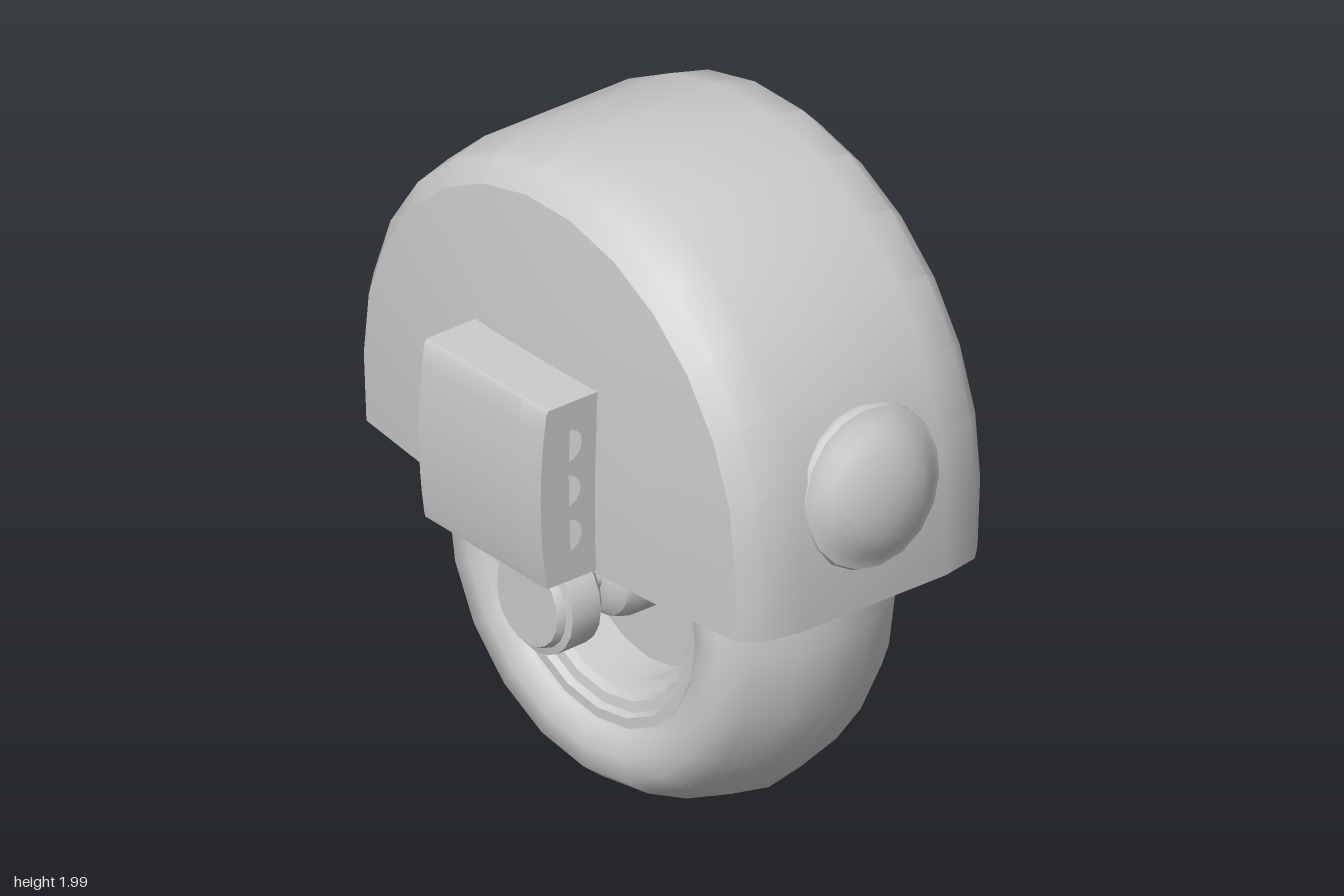
import * as THREE from 'three';
import { toCreasedNormals } from 'three/addons/utils/BufferGeometryUtils.js';

const MID_Z = -0.035, AXLE_Y = 0.71, BASE_Y = 0.9;
const material = new THREE.MeshStandardMaterial({ color: 0xcccccc });
const doubleMaterial = new THREE.MeshStandardMaterial({ color: 0xcccccc, side: THREE.DoubleSide });

function addMesh(parent, name, geometry, mat = material) {
  const mesh = new THREE.Mesh(geometry, mat);
  mesh.name = name;
  parent.add(mesh);
  return mesh;
}

// Lathe from [radius, height] pairs listed bottom to top
function lathe(pairs, segments, crease) {
  const points = pairs.map(([r, h]) => new THREE.Vector2(r, h));
  return toCreasedNormals(new THREE.LatheGeometry(points, segments), crease);
}

// Complete a half profile (centre outwards, then to the middle) by mirroring it
function mirrored(half) {
  return [...half.map(([r, h]) => [r, -h]), ...half.slice().reverse()];
}

// Half-round hollow cover, lofted over an arch outline
function addFender(parent) {
  const outline = [[0.86, 0]];
  for (let i = 0; i <= 13; i++) {
    const a = (i / 13) * Math.PI;
    outline.push([0.865 * Math.cos(a), 0.23 + 0.87 * Math.sin(a)]);
  }
  outline.push([-0.86, 0]);

  // [scale towards the base centre, half width]; null follows the side bulge
  const side = [[0, null], [0.3, null], [0.6, null], [0.915, null], [0.973, 0.37], [1, 0.25]];
  const outer = [
    ...side.map(([s, w]) => [s, w, 1]),
    ...side.slice().reverse().map(([s, w]) => [s, w, -1]),
  ];
  const inner = [[0, 0.36, -1], [0.88, 0.36, -1], [0.88, 0.36, 1], [0, 0.36, 1]];
  const profile = [...outer, ...inner];

  const place = ([z, y], [s, w, sign]) => {
    const d2 = (z * s) ** 2 + (y * s - 0.25) ** 2;
    return [sign * (w ?? 0.488 - 0.1 * d2), BASE_Y + y * s, MID_Z + z * s];
  };
  const positions = [], index = [], n = profile.length;
  outline.forEach((o) => profile.forEach((p) => positions.push(...place(o, p))));
  for (let i = 0; i < outline.length - 1; i++) {
    for (let j = 0; j < n - 1; j++) {
      const a = i * n + j, b = a + n;
      index.push(a, b, a + 1, b, b + 1, a + 1);
    }
  }
  const shell = new THREE.BufferGeometry();
  shell.setAttribute('position', new THREE.Float32BufferAttribute(positions, 3));
  shell.setIndex(index);
  addMesh(parent, 'fender', toCreasedNormals(shell, 0.6), doubleMaterial);

  // Flat lower rim around the wheel opening
  const ring = (list) => [
    ...list.map((p) => place(outline[0], p)),
    ...list.slice().reverse().map((p) => place(outline[outline.length - 1], p)),
  ].map(([x, , z]) => new THREE.Vector2(x, z));
  const rim = new THREE.Shape(ring(outer));
  rim.holes.push(new THREE.Path(ring(inner)));
  const rimGeometry = new THREE.ShapeGeometry(rim).rotateX(Math.PI / 2).translate(0, BASE_Y, 0);
  addMesh(parent, 'fenderRim', rimGeometry, doubleMaterial);
}

function addWheel(parent) {
  const wheel = new THREE.Group();
  wheel.name = 'wheel';
  wheel.position.set(0, AXLE_Y, MID_Z);
  wheel.rotation.z = -Math.PI / 2;
  parent.add(wheel);

  const tire = mirrored([[0.44, 0.24], [0.44, 0.275], [0.46, 0.295], [0.51, 0.308],
    [0.575, 0.308], [0.63, 0.24], [0.683, 0.12], [0.703, 0]]);
  addMesh(wheel, 'tire', lathe(tire, 20, 1.1));

  // Stepped rim, recessed disc and hub on both sides
  const rim = mirrored([[0, 0.275], [0.08, 0.275], [0.12, 0.25], [0.135, 0.21], [0.135, 0.08],
    [0.32, 0.08], [0.325, 0.19], [0.36, 0.21], [0.37, 0.235], [0.4, 0.24], [0.41, 0.26], [0.44, 0.26]]);
  addMesh(wheel, 'rim', lathe(rim, 20, 0.6));
  addMesh(wheel, 'axle', new THREE.CylinderGeometry(0.037, 0.037, 0.74, 16));
}

// Axle cap with a strut up to the fender
function addAxleMount(parent, side) {
  const cap = lathe([[0, 0.347], [0.125, 0.347], [0.158, 0.375], [0.16, 0.475],
    [0.138, 0.48], [0.128, 0.503], [0, 0.503]], 20, 0.5);
  cap.rotateZ(-side * Math.PI / 2).translate(0, AXLE_Y, MID_Z);
  addMesh(parent, 'axleCap', cap);
  const strut = addMesh(parent, 'strut', new THREE.BoxGeometry(0.09, 0.16, 0.19));
  strut.position.set(side * 0.425, 0.85, MID_Z);
}

// Side pod with a bowed outer face and three blind holes in the front
function addSidePod(parent, side) {
  const pod = new THREE.Group();
  pod.name = 'sidePod';
  parent.add(pod);
  const makeShape = () => {
    const points = [[0.44, 0.912], [0.645, 0.912]];
    for (let i = 0; i <= 8; i++) {
      const t = i / 4 - 1;
      points.push([0.668 - 0.02 * t * t, 1.187 + 0.262 * t]);
    }
    points.push([0.64, 1.46], [0.44, 1.46]);
    return new THREE.Shape(points.map(([x, y]) => new THREE.Vector2(side * x, y)));
  };
  const addSlab = (name, shape, from, to) => {
    const geometry = new THREE.ExtrudeGeometry(shape,
      { depth: to - from, bevelEnabled: false, curveSegments: 8 });
    addMesh(pod, name, toCreasedNormals(geometry.translate(0, 0, from), 0.5));
  };
  const front = makeShape();
  for (const [x, y] of [[0.575, 1.05], [0.58, 1.188], [0.575, 1.328]]) {
    front.holes.push(new THREE.Path().absarc(side * x, y, 0.05, 0, Math.PI * 2, true));
  }
  addSlab('podFront', front, 0.12, 0.225);
  addSlab('podBody', makeShape(), -0.295, 0.12);
}

// Domed lamp with a flange, tilted to follow the cover
function addLamp(parent) {
  const dome = lathe([[0, -0.05], [0.22, -0.05], [0.236, 0], [0.23, 0.018], [0.205, 0.028],
    [0.175, 0.055], [0.13, 0.08], [0.07, 0.095], [0, 0.1]], 18, 0.7);
  const lamp = addMesh(parent, 'frontLamp', dome);
  lamp.position.set(0, 1.255, 0.803);
  lamp.rotation.x = Math.PI / 2 - 0.13;
}

export function createModel() {
  const model = new THREE.Group();
  model.name = 'coveredWheel';
  addFender(model);
  addWheel(model);
  addLamp(model);
  for (const side of [1, -1]) {
    addAxleMount(model, side);
    addSidePod(model, side);
  }
  return model;
}
